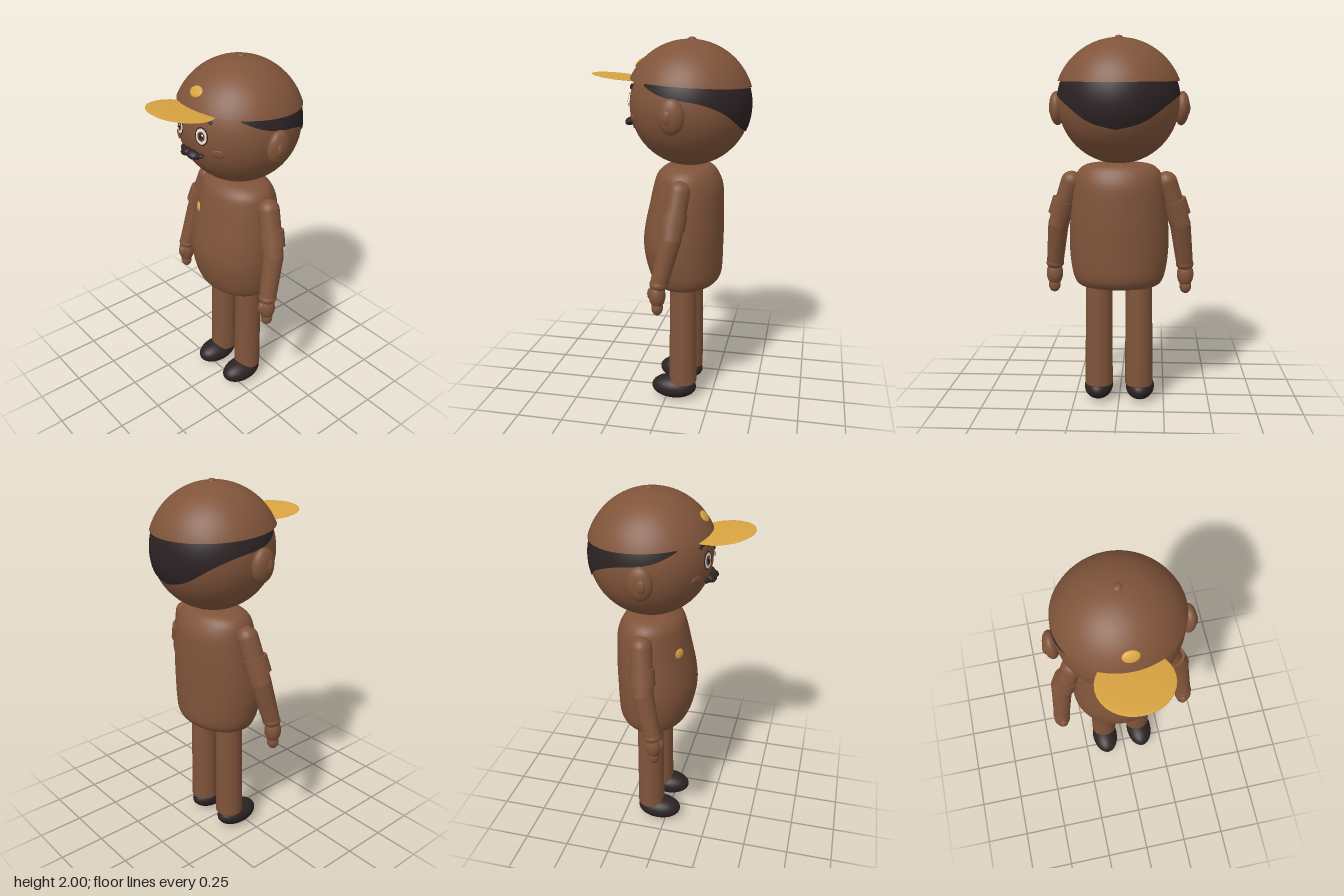
import * as THREE from 'three';

const material = (name, color, side = THREE.FrontSide) => {
  const m = new THREE.MeshStandardMaterial({ color, side });
  m.name = name;
  return m;
};

export function createModel() {
  const brown = material('brown', 0x80543a, THREE.DoubleSide);
  const dark = material('soft black', 0x2c2224, THREE.DoubleSide);
  const gold = material('gold', 0xd9a441);
  const white = material('eye white', 0xf0ebe4);
  const iris = material('iris brown', 0x6e3f22);

  const model = new THREE.Group();
  model.name = 'cappedFigure';
  const add = (name, geometry, mat, pos = [0, 0, 0], parent = model) => {
    const mesh = new THREE.Mesh(geometry, mat);
    mesh.name = name;
    mesh.position.set(...pos);
    parent.add(mesh);
    return mesh;
  };
  const ellipsoid = (rx, ry, rz) => new THREE.SphereGeometry(1, 32, 20).scale(rx, ry, rz);

  // Grid surface from a point function p(u, v); v wraps from bottom to top
  const surface = (nu, nv, p) => {
    const pos = [], index = [];
    for (let j = 0; j <= nv; j++) for (let i = 0; i <= nu; i++) pos.push(...p(i / nu, j / nv));
    for (let j = 0; j < nv; j++) for (let i = 0; i < nu; i++) {
      const a = j * (nu + 1) + i, b = a + nu + 1;
      index.push(a, a + 1, b, a + 1, b + 1, b);
    }
    const g = new THREE.BufferGeometry();
    g.setAttribute('position', new THREE.Float32BufferAttribute(pos, 3));
    g.setIndex(index);
    g.computeVertexNormals();
    return g;
  };

  // Torso: rings of (height, half width, front z, back z)
  const rings = [
    [0.662, 0.001, -0.09, -0.092], [0.664, 0.17, 0.03, -0.2], [0.68, 0.222, 0.08, -0.255],
    [0.72, 0.245, 0.105, -0.282], [0.8, 0.262, 0.13, -0.29], [0.9, 0.27, 0.145, -0.292],
    [1.0, 0.267, 0.136, -0.294], [1.13, 0.253, 0.108, -0.292], [1.23, 0.238, 0.086, -0.285],
    [1.29, 0.222, 0.065, -0.26], [1.325, 0.185, 0.03, -0.23], [1.34, 0.12, -0.01, -0.18],
    [1.342, 0.001, -0.09, -0.092]];
  const ringCurve = new THREE.CatmullRomCurve3(rings.map(([y, w, f]) => new THREE.Vector3(w, y, f)));
  const backCurve = new THREE.CatmullRomCurve3(rings.map(([y, w, , b]) => new THREE.Vector3(w, y, b)));
  add('torso', surface(48, 48, (u, v) => {
    const f = ringCurve.getPoint(v), back = backCurve.getPoint(v).z;
    const a = u * Math.PI * 2;
    return [f.x * Math.sin(-a), f.y, (f.z + back) / 2 + (f.z - back) / 2 * Math.cos(a)];
  }).scale(-1, 1, 1), brown);
  const pin = add('chestBadge', ellipsoid(0.034, 0.028, 0.009), gold, [-0.125, 1.15, 0.073]);
  pin.rotation.set(-0.15, -0.5, 0);

  // Head
  const C = new THREE.Vector3(0, 1.655, -0.105), R = 0.32;
  add('head', new THREE.SphereGeometry(R, 48, 32), brown, C.toArray());
  const headPoint = (x, y, lift = 0) => {
    const z = Math.sqrt(R * R - x * x - (y - C.y) ** 2);
    return new THREE.Vector3(x, y - C.y, z).setLength(R + lift).add(C);
  };
  const onHead = (name, geometry, mat, x, y, lift) => {
    const mesh = add(name, geometry, mat, headPoint(x, y, lift).toArray());
    mesh.lookAt(mesh.position.clone().multiplyScalar(2).sub(C));
    return mesh;
  };

  // Hair: band between the cap and a lower edge that dips at the back
  const edge = new THREE.SplineCurve([[0, 1.765], [51, 1.765], [72, 1.722], [90, 1.702], [108, 1.685],
    [129, 1.64], [155, 1.555], [180, 1.52]].map(([a, y]) => new THREE.Vector2(a, y)).slice(1));
  add('hair', surface(72, 12, (u, v) => {
    const s = u * 2 - 1, e = edge.getPoint(1 - Math.abs(s));
    const a = Math.PI + s * (Math.PI - THREE.MathUtils.degToRad(51));
    const angle = THREE.MathUtils.degToRad(e.x) * (s < 0 ? 1 : -1);
    const y = THREE.MathUtils.lerp(e.y, 1.785, v) - C.y;
    const r = Math.sqrt(0.3255 ** 2 - y * y);
    return [r * Math.sin(angle || a), C.y + y, C.z + r * Math.cos(angle || a)];
  }), dark);

  // Cap: shallow dome tilted back, with button, peak and badge
  const cap = new THREE.Group();
  cap.name = 'cap';
  cap.position.set(0, 1.767, C.z);
  cap.rotation.x = -0.055;
  model.add(cap);
  const domeR = 0.342, rim = Math.acos(0.12 / domeR);
  add('capDome', new THREE.SphereGeometry(domeR, 64, 24, 0, Math.PI * 2, 0, rim), brown, [0, -0.12, 0], cap);
  add('capButton', ellipsoid(0.022, 0.012, 0.022), brown, [0, 0.221, 0.005], cap);
  const peak = add('capPeak', ellipsoid(0.184, 0.007, 0.164), gold, [0, 1.793, 0.262]);
  peak.rotation.x = -0.12;
  const badge = add('capBadge', ellipsoid(0.042, 0.03, 0.009), gold, [0, 1.868, 0.168]);
  badge.rotation.x = -0.72;

  // Face
  for (const s of [-1, 1]) {
    const x = s * 0.085, y = 1.675;
    const disc = (rx, ry) => new THREE.CircleGeometry(1, 32).scale(rx, ry, 1);
    onHead('eyeOutline', disc(0.039, 0.047), dark, x, y, 0.004);
    onHead('eyeWhite', disc(0.033, 0.041), white, x, y, 0.006);
    onHead('iris', disc(0.022, 0.025), iris, x, y, 0.008);
    onHead('pupil', disc(0.012, 0.014), dark, x, y, 0.01);
    onHead('eyeHighlight', disc(0.005, 0.006), white, x + 0.008, y + 0.009, 0.012);

    const brow = new THREE.CatmullRomCurve3([[0.045, 1.738], [0.075, 1.753], [0.105, 1.757], [0.13, 1.743]]
      .map(([bx, by]) => headPoint(s * bx, by, 0.002)));
    add('eyebrow', new THREE.TubeGeometry(brow, 16, 0.008, 8), dark);
    onHead('cheek', ellipsoid(0.035, 0.022, 0.006), brown, s * 0.16, 1.595, 0.001);

    onHead('moustacheInner', ellipsoid(0.036, 0.02, 0.03), dark, s * 0.026, 1.566, 0.014).rotateZ(-s * 0.2);
    onHead('moustacheTip', ellipsoid(0.033, 0.012, 0.018), dark, s * 0.056, 1.562, 0.006).rotateZ(s * 0.25);

    // Ears
    const ear = add('ear', ellipsoid(0.04, 0.09, 0.066), brown, [s * 0.333, 1.625, -0.07]);
    ear.rotation.z = -s * 0.05;
    add('earInner', ellipsoid(0.012, 0.035, 0.022), brown, [s * 0.366, 1.625, -0.055]);
  }
  onHead('mouth', ellipsoid(0.042, 0.018, 0.007), dark, 0, 1.537, 0.002);
  onHead('lowerLip', ellipsoid(0.03, 0.008, 0.008), brown, 0, 1.531, 0.005);

  // Limb segment between two points, with rounded joints
  const segment = (name, a, b, ra, rb, parent, mat = brown) => {
    const p = new THREE.Vector3(...a), q = new THREE.Vector3(...b);
    const mesh = add(name, new THREE.CylinderGeometry(ra, rb, p.distanceTo(q), 32), mat,
      p.clone().add(q).multiplyScalar(0.5).toArray(), parent);
    mesh.quaternion.setFromUnitVectors(new THREE.Vector3(0, 1, 0), p.sub(q).normalize());
    return mesh;
  };

  for (const s of [-1, 1]) {
    // Arm
    const arm = new THREE.Group();
    arm.name = s > 0 ? 'leftArm' : 'rightArm';
    model.add(arm);
    const shoulder = [s * 0.255, 1.235, -0.095], elbow = [s * 0.333, 1.0, -0.067], wrist = [s * 0.362, 0.77, -0.012];
    add('shoulder', ellipsoid(0.058, 0.058, 0.058), brown, shoulder, arm);
    segment('upperArm', shoulder, elbow, 0.058, 0.056, arm);
    add('elbow', ellipsoid(0.056, 0.056, 0.056), brown, elbow, arm);
    segment('forearm', elbow, wrist, 0.056, 0.046, arm);
    segment('sleeveCuff', [s * 0.295, 1.135, -0.082], [s * 0.322, 1.052, -0.071], 0.067, 0.067, arm);
    add('wrist', ellipsoid(0.049, 0.035, 0.049), brown, wrist, arm);
    add('hand', ellipsoid(0.046, 0.07, 0.043), brown, [s * 0.366, 0.71, -0.004], arm);
    add('fingers', ellipsoid(0.033, 0.042, 0.03), brown, [s * 0.368, 0.643, -0.004], arm);
    add('thumb', ellipsoid(0.023, 0.036, 0.022), brown, [s * 0.36, 0.715, 0.028], arm);

    // Leg and shoe
    segment('leg', [s * 0.108, 0.72, -0.093], [s * 0.112, 0.105, -0.093], 0.073, 0.077);
    add('legHem', ellipsoid(0.077, 0.016, 0.077), brown, [s * 0.112, 0.105, -0.093]);
    add('shoe', ellipsoid(0.08, 0.066, 0.127), dark, [s * 0.117, 0.067, -0.043]);
  }
  return model;
}
